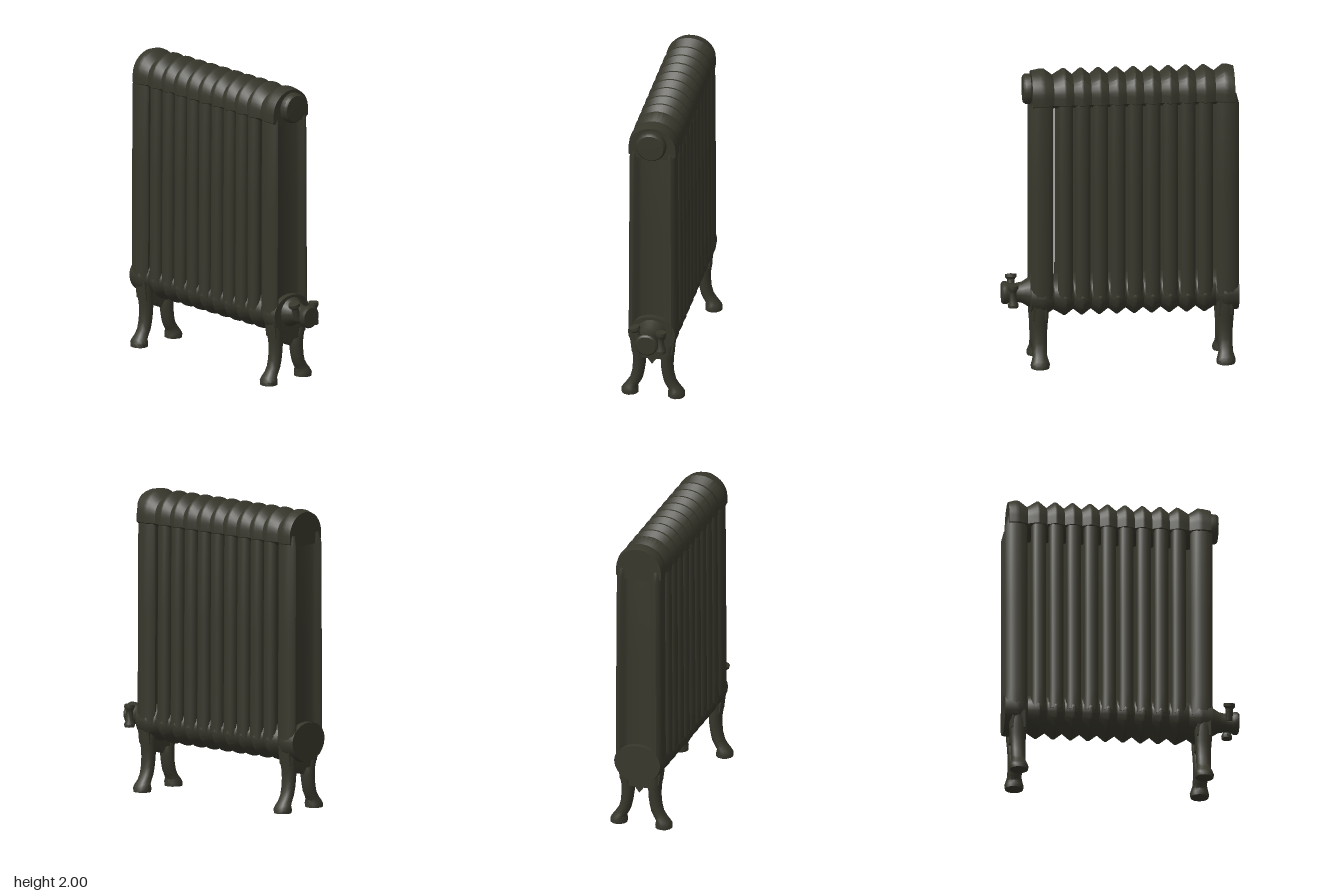
import * as THREE from 'three';
import { toCreasedNormals } from 'three/addons/utils/BufferGeometryUtils.js';

const iron = new THREE.MeshStandardMaterial({ color: 0x38372c });
iron.name = 'dark cast iron';

// Closed skin over a list of rings, capped at both ends and turned outward
function loft(rings, crease = 0.8) {
  const n = rings[0].length, pos = [], idx = [];
  rings.forEach(r => r.forEach(p => pos.push(...p)));
  for (let i = 0; i < rings.length - 1; i++) for (let j = 0; j < n; j++) {
    const a = i * n + j, b = i * n + (j + 1) % n;
    idx.push(a, b, a + n, b, b + n, a + n);
  }
  [0, rings.length - 1].forEach((r, end) => {
    const c = pos.length / 3;
    pos.push(...[0, 1, 2].map(k => rings[r].reduce((s, p) => s + p[k], 0) / n));
    for (let j = 0; j < n; j++) {
      const a = r * n + j, b = r * n + (j + 1) % n;
      idx.push(...(end ? [c, a, b] : [c, b, a]));
    }
  });
  let volume = 0;
  const at = i => new THREE.Vector3(...pos.slice(i * 3, i * 3 + 3));
  for (let i = 0; i < idx.length; i += 3) volume += at(idx[i]).dot(at(idx[i + 1]).cross(at(idx[i + 2])));
  if (volume < 0) for (let i = 0; i < idx.length; i += 3) [idx[i], idx[i + 1]] = [idx[i + 1], idx[i]];
  const g = new THREE.BufferGeometry();
  g.setAttribute('position', new THREE.Float32BufferAttribute(pos, 3));
  g.setIndex(idx);
  return toCreasedNormals(g, crease);
}

function turned(profile, segments = 20) {
  const g = new THREE.LatheGeometry(profile.map(p => new THREE.Vector2(...p)), segments);
  return toCreasedNormals(g, 0.7);
}

// Section centres, front to back
const centres = [0.515];
for (let i = 0; i < 9; i++) centres.push(0.37 - i * 0.115);
centres.push(-0.69);

// Stations along z: ridge at each section, valley between; k = 1 on a ridge
function stations(front, back) {
  const list = [front];
  centres.forEach((z, i) => {
    const end = i === 0 || i === 10;
    if (end) list.push([z + 0.015, 1], [z - 0.015, 1]);
    else list.push([z + 0.007, 1], [z - 0.007, 1]);
    if (i < 10) list.push([(z + centres[i + 1]) / 2, 0]);
  });
  list.push(back);
  return list;
}

// Arched top header outline
function topRing(z, k) {
  const w = 0.137 + 0.026 * k, h = 0.115 + 0.043 * k, ring = [];
  for (let i = 0; i <= 16; i++) {
    const a = Math.PI * i / 16;
    ring.push([Math.cos(a) * w, 1.84 + Math.sin(a) * h, z]);
  }
  ring.push([-w, 1.79, z], [-w * 0.8, 1.765, z], [w * 0.8, 1.765, z], [w, 1.79, z]);
  return ring;
}

// Bottom header outline: rounded below, flatter above
function bottomRing(z, k) {
  const w = 0.137 + 0.03 * k, ring = [];
  for (let i = 0; i < 24; i++) {
    const a = Math.PI * 2 * i / 24, s = Math.sin(a);
    ring.push([Math.cos(a) * w, 0.47 + s * (s > 0 ? 0.12 : 0.11 + 0.04 * k), z]);
  }
  return ring;
}

// Double column with a thin web, mirrored from one quarter
function columnRing(y, w, d, zc) {
  const q = [[1, 0], [0.97, 0.5], [0.89, 0.85], [0.79, 1], [0.7, 0.93], [0.6, 0.62], [0.45, 0.48], [0, 0.45]];
  const half = [...q, ...q.slice(0, -1).reverse().map(([x, z]) => [-x, z])];
  const full = [...half, ...half.slice(1, -1).reverse().map(([x, z]) => [x, -z])];
  return full.map(([x, z]) => [x * w, y, zc + z * d]);
}

// Splayed leg with a flared foot; rows are y, centre x, half width, half depth
function legGeometry(side) {
  const rows = [[0, 0.155, 0.057, 0.06], [0.025, 0.155, 0.057, 0.064], [0.05, 0.15, 0.046, 0.056],
    [0.075, 0.132, 0.045, 0.048], [0.11, 0.112, 0.042, 0.048], [0.16, 0.1, 0.041, 0.049],
    [0.22, 0.093, 0.043, 0.05], [0.28, 0.093, 0.044, 0.054], [0.33, 0.102, 0.043, 0.058],
    [0.42, 0.105, 0.045, 0.06]];
  return loft(rows.map(([y, cx, w, d]) => Array.from({ length: 12 }, (_, i) => {
    const a = Math.PI * 2 * i / 12;
    return [side * (cx + Math.cos(a) * w), y, Math.sin(a) * d];
  })));
}

export function createModel() {
  const model = new THREE.Group();
  model.name = 'radiator';
  const add = (name, geometry, x = 0, y = 0, z = 0, parent = model) => {
    const m = new THREE.Mesh(geometry, iron);
    m.name = name;
    m.position.set(x, y, z);
    parent.add(m);
    return m;
  };

  // Ribbed headers
  add('topHeader', loft(stations([0.585, 0.75], [-0.745, 0.7]).map(s => topRing(...s)), 0.6));
  add('bottomHeader', loft(stations([0.595, 0.7], [-0.772, 0.75]).map(s => bottomRing(...s)), 0.6));

  // Columns, with thicker ones at both ends
  centres.forEach((z, i) => {
    const end = i === 0 || i === 10;
    const d = end ? 0.074 : 0.05, zc = i === 0 ? 0.522 : i === 10 ? -0.698 : z;
    const rows = [[0.46, 0.165, d], [0.6, 0.165, d], [1.2, 0.162, d], [1.77, 0.158, d], [1.84, 0.15, d * 0.75]];
    add('column' + (i + 1), loft(rows.map(([y, w, t]) => columnRing(y, w, t, zc))));
  });

  // Legs and the pointed apron between each pair
  const apron = new THREE.Shape([[-0.15, 0.44], [-0.135, 0.32], [-0.08, 0.28], [-0.03, 0.28], [0, 0.24],
    [0.03, 0.28], [0.08, 0.28], [0.135, 0.32], [0.15, 0.44]].map(p => new THREE.Vector2(...p)));
  const apronGeometry = new THREE.ExtrudeGeometry(apron, { depth: 0.09, bevelEnabled: false });
  [['front', 0.538], ['back', -0.683]].forEach(([end, z]) => {
    add(end + 'LeftLeg', legGeometry(1), 0, 0, z);
    add(end + 'RightLeg', legGeometry(-1), 0, 0, z);
    add(end + 'Apron', apronGeometry, 0, 0, z - 0.045);
  });

  // Round plug on the top header
  add('topPlug', turned([[0, 0], [0.075, 0], [0.08, 0.02], [0.1, 0.03], [0.1, 0.065], [0.088, 0.08], [0, 0.083]]),
    0, 1.87, 0.56).rotation.x = Math.PI / 2;

  // Valve with its tapering neck and round end
  const valve = new THREE.Group();
  valve.name = 'valve';
  valve.position.set(0, 0.475, 0);
  model.add(valve);
  add('valveBody', turned([[0, 0], [0.11, 0], [0.095, 0.05], [0.07, 0.09], [0.062, 0.13], [0.062, 0.17],
    [0.075, 0.19], [0.075, 0.215], [0.065, 0.225], [0, 0.225]]), 0, 0, 0.555, valve).rotation.x = Math.PI / 2;

  // Waisted fittings on either side of the valve
  const spool = turned([[0, -0.075], [0.034, -0.075], [0.036, -0.055], [0.024, -0.03], [0.022, 0.03],
    [0.036, 0.055], [0.034, 0.075], [0, 0.075]], 12);
  add('valveUnion', spool, 0.085, 0, 0.71, valve);
  const handle = add('valveHandle', turned([[0, -0.07], [0.024, -0.07], [0.024, 0.01], [0.038, 0.025],
    [0.038, 0.045], [0, 0.05]], 12), -0.08, 0.055, 0.71, valve);
  handle.rotation.z = 0.3;
  return model;
}
